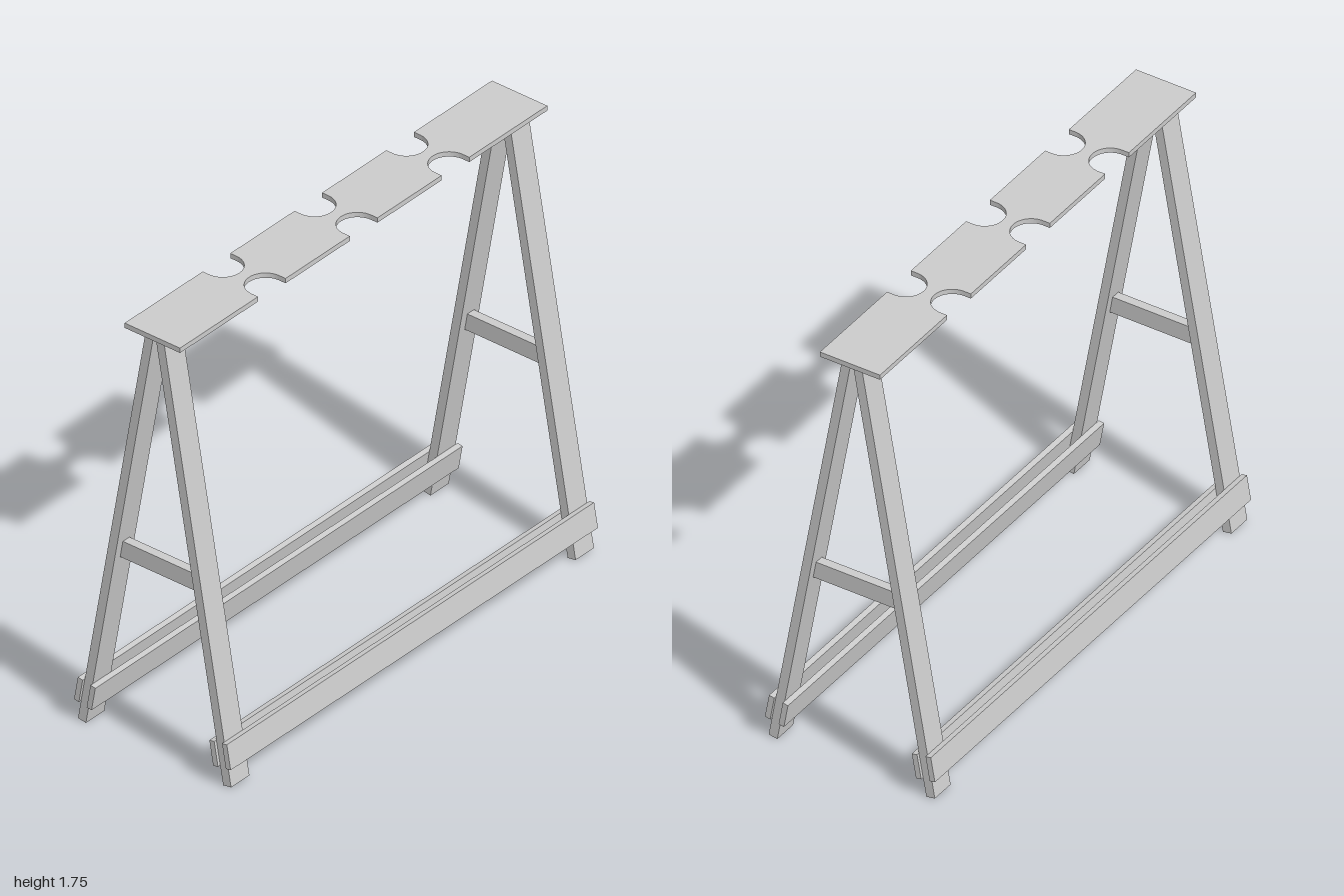
import * as THREE from 'three';
import { toCreasedNormals } from 'three/addons/utils/BufferGeometryUtils.js';

const TILT = THREE.MathUtils.degToRad(10);
const SIN = Math.sin(TILT), COS = Math.cos(TILT), TAN = Math.tan(TILT);
const STOCK = 0.036;                 // leg and brace thickness
const PLATE_BOTTOM = 1.725, PLATE_TOP = 1.745;
const FOOT = { z: 0.328, y: 0.003 }; // centre of a leg's lower end
const LEG_X = 0.938;

const material = new THREE.MeshStandardMaterial({ color: 0xcccccc });

function addMesh(parent, name, geometry) {
  const mesh = new THREE.Mesh(geometry, material);
  mesh.name = name;
  parent.add(mesh);
  return mesh;
}

// Point at distance s up the sloping leg and d outward from its centre line, as [z, y]
const onLeg = (s, d) => [FOOT.z - s * SIN + d * COS, FOOT.y + s * COS + d * SIN];

// Extrude a [z, y] profile along x, centred on x = 0
function alongX(profile, width) {
  const shape = new THREE.Shape(profile.map(([z, y]) => new THREE.Vector2(z, y)));
  return new THREE.ExtrudeGeometry(shape, { depth: width, bevelEnabled: false })
    .translate(0, 0, -width / 2)
    .rotateY(-Math.PI / 2);
}

// z of a leg face (d outward from the centre line) at height y
function faceZ(d, y) {
  const [z0, y0] = onLeg(0, d);
  return z0 - (y - y0) * TAN;
}

// Top plate with three pairs of round-ended notches
function plateGeometry() {
  const r = 0.075, edge = 0.125, arcZ = 0.097;
  const shape = new THREE.Shape();
  shape.moveTo(-1, -edge);
  for (const s of [1, -1]) {
    shape.lineTo(-s, -s * edge);
    for (const cx of [-0.5, 0, 0.5]) {
      shape.lineTo(s * (cx - r), -s * edge);
      const start = s > 0 ? Math.PI : 0;
      shape.absarc(s * cx, -s * arcZ, r, start, start - Math.PI, true);
      shape.lineTo(s * (cx + r), -s * edge);
    }
    shape.lineTo(s, -s * edge);
  }
  const geometry = new THREE.ExtrudeGeometry(shape, {
    depth: PLATE_TOP - PLATE_BOTTOM, bevelEnabled: false, curveSegments: 24,
  }).rotateX(-Math.PI / 2).translate(0, PLATE_BOTTOM, 0);
  return toCreasedNormals(geometry, 0.5);
}

export function createModel() {
  const model = new THREE.Group();
  model.name = 'rackStand';

  addMesh(model, 'topPlate', plateGeometry());

  // Legs: square-cut at the foot, cut level under the plate
  const h = STOCK / 2;
  const legGeometry = alongX([
    onLeg(0, h), [faceZ(h, PLATE_BOTTOM), PLATE_BOTTOM],
    [faceZ(-h, PLATE_BOTTOM), PLATE_BOTTOM], onLeg(0, -h),
  ], 0.1);

  // Rails: one board on each face of the legs
  const railGeometry = (d0, d1) => alongX(
    [onLeg(0.078, d0), onLeg(0.078, d1), onLeg(0.178, d1), onLeg(0.178, d0)], 2);
  const outerRail = railGeometry(h, h + 0.022);
  const innerRail = railGeometry(-h, -h - 0.022);

  for (const side of ['front', 'back']) {
    const frame = new THREE.Group();
    frame.name = side + 'Frame';
    if (side === 'back') frame.rotation.y = Math.PI;
    for (const x of [-LEG_X, LEG_X]) addMesh(frame, side + 'Leg', legGeometry).position.x = x;
    addMesh(frame, side + 'OuterRail', outerRail);
    addMesh(frame, side + 'InnerRail', innerRail);
    model.add(frame);
  }

  // Cross braces between the front and back legs, ends cut to the slope
  const low = 0.728, high = 0.797;
  const zLow = faceZ(-h, low), zHigh = faceZ(-h, high);
  const braceGeometry = alongX([[-zLow, low], [zLow, low], [zHigh, high], [-zHigh, high]], STOCK);
  for (const x of [-LEG_X, LEG_X]) addMesh(model, 'crossBrace', braceGeometry).position.x = x;

  return model;
}
